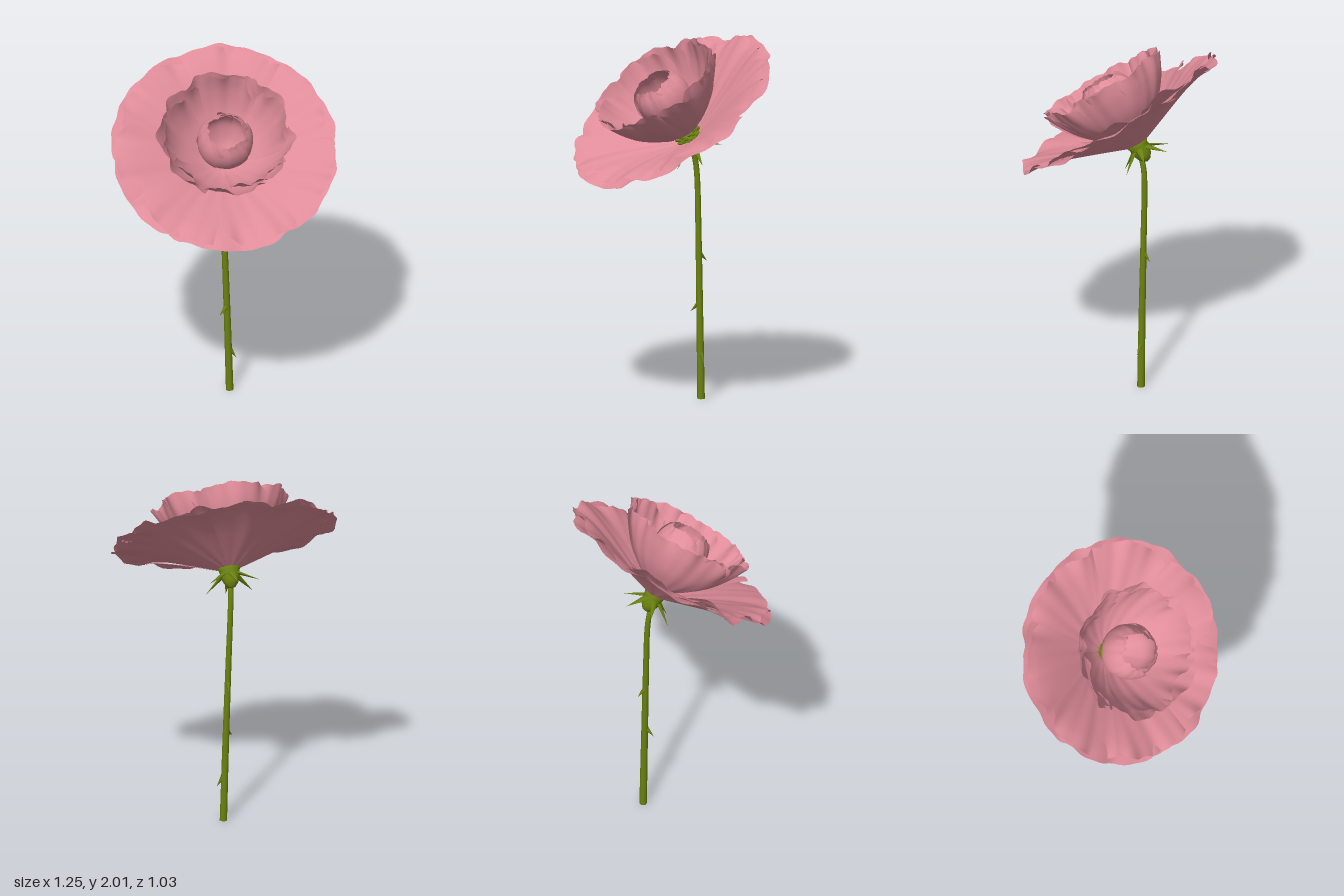
import * as THREE from 'three';
import { mergeGeometries } from 'three/addons/utils/BufferGeometryUtils.js';

const pink = new THREE.MeshStandardMaterial({ color: 0xdf8c99, side: THREE.DoubleSide });
pink.name = 'petal pink';
const green = new THREE.MeshStandardMaterial({ color: 0x6b8210 });
green.name = 'stem green';

function part(name, geometry, material, parent) {
  const mesh = new THREE.Mesh(geometry, material);
  mesh.name = name;
  parent.add(mesh);
  return mesh;
}

// One petal: a sheet swept along a (radius, height) profile over a sector of the flower
function petalGeometry(profile, o) {
  const geo = new THREE.PlaneGeometry(2, 1, 26, 24);
  const pos = geo.attributes.position;
  const p = new THREE.Vector2();
  for (let i = 0; i < pos.count; i++) {
    const u = pos.getX(i);
    const t = pos.getY(i) + 0.5;
    const nibble = 0.014 * Math.sin(u * 9 + o.phase * 2) + 0.011 * Math.sin(u * 19 + o.phase);
    const v = t * (1 - o.round * Math.abs(u) ** 3 + nibble * t);
    profile.getPoint(Math.min(1, Math.max(0, v * 0.975)), p);
    const a = o.angle - u * o.half;
    // ruffled rim, lengthwise creases and one edge lifted over the neighbour
    const rim = t ** 4 * (Math.sin(u * 6 + o.phase) + 0.35 * Math.sin(u * 15 + o.phase));
    const wave = o.ruffle * (rim + 0.4 * t * (1 - t) * Math.sin(u * 11 + o.phase));
    const lift = o.overlap * t * u;
    const r = p.x * o.scale - (o.cupped ? wave + lift : 0);
    const h = p.y + (o.cupped ? 0.3 * wave : wave + lift) + o.raise * t;
    pos.setXYZ(i, r * Math.sin(a), h, r * Math.cos(a));
  }
  geo.computeVertexNormals();
  return geo;
}

function petalRing(name, points, count, options, parent) {
  const profile = new THREE.SplineCurve(points.map(([r, h]) => new THREE.Vector2(r, h)));
  const ring = new THREE.Group();
  ring.name = name;
  for (let i = 0; i < count; i++) {
    const o = { cupped: true, scale: 1, raise: 0, turn: 0, ...options };
    o.angle = o.turn + (i / count) * Math.PI * 2;
    o.phase = i * 2.4 + o.turn * 5;
    part('petal', petalGeometry(profile, o), pink, ring);
  }
  parent.add(ring);
}

// Pointed spike from a base point along a direction
function spike(base, dir, length, radius, flat = 1) {
  const geo = new THREE.ConeGeometry(radius, length, 8);
  geo.translate(0, length / 2, 0);
  geo.scale(1, 1, flat);
  const q = new THREE.Quaternion().setFromUnitVectors(new THREE.Vector3(0, 1, 0), dir.clone().normalize());
  geo.applyQuaternion(q);
  return geo.translate(base.x, base.y, base.z);
}

export function createModel() {
  const model = new THREE.Group();
  model.name = 'flower';
  const V = (x, y, z) => new THREE.Vector3(x, y, z);

  // Stem: tube that thins toward the top and bends into the flower
  const path = new THREE.CatmullRomCurve3([
    V(0.045, 0, -0.166), V(0.032, 0.45, -0.166), V(0.017, 0.9, -0.167),
    V(0.004, 1.25, -0.165), V(0, 1.34, -0.155), V(0, 1.42, -0.13),
  ]);
  const rows = 48, sides = 12;
  const stem = new THREE.TubeGeometry(path, rows, 1, sides, false);
  for (let i = 0; i < stem.attributes.position.count; i++) {
    const t = Math.floor(i / (sides + 1)) / rows;
    const c = path.getPointAt(t);
    const v = V(0, 0, 0).fromBufferAttribute(stem.attributes.position, i);
    v.sub(c).multiplyScalar(0.021 - 0.006 * t).add(c);
    stem.attributes.position.setXYZ(i, v.x, v.y, v.z);
  }
  part('stem', stem, green, model);
  const cut = part('stemEnd', new THREE.CircleGeometry(0.021, sides), green, model);
  cut.rotation.x = Math.PI / 2;
  cut.position.set(0.045, 0.001, -0.166);

  // Thorns pointing outward and down
  const thorns = [
    [V(0.048, 0.255, -0.166), V(0.75, -1.2, 0.1)],
    [V(0.026, 0.53, -0.158), V(-1, -1.1, 0.6)],
    [V(0.02, 0.815, -0.172), V(0.2, -1.1, -1)],
  ];
  for (const [base, dir] of thorns) part('thorn', spike(base, dir, 0.064, 0.014), green, model);

  // Flower head, nodding forward
  const head = new THREE.Group();
  head.name = 'flowerHead';
  head.position.set(0, 1.455, -0.125);
  head.rotation.x = 0.62;
  model.add(head);

  // Calyx bulb
  const bulb = [[0, -0.1], [0.022, -0.092], [0.042, -0.065], [0.054, -0.03], [0.056, 0], [0.066, 0.02], [0.045, 0.036], [0, 0.042]];
  part('calyx', new THREE.LatheGeometry(bulb.map(([r, h]) => new THREE.Vector2(r, h)), 20), green, head);

  // Sepals splayed outward and back
  for (let i = 0; i < 6; i++) {
    const geo = spike(V(0, -0.01, 0.03), V(0, i % 2 ? -0.75 : -0.55, 1), 0.155, 0.028, 0.4);
    part('sepal', geo.rotateY((i / 6) * Math.PI * 2), green, head);
  }

  // Stamen beads around the heart
  const beads = [];
  for (let i = 0; i < 60; i++) {
    const a = i * 2.4;
    const r = [0.072, 0.062, 0.045][i % 3];
    const h = [0.03, 0.042, 0.046][i % 3];
    beads.push(new THREE.IcosahedronGeometry(0.009, 0).translate(r * Math.sin(a), h, r * Math.cos(a)));
  }
  part('stamens', mergeGeometries(beads), green, head);

  // Wide outer petals: broad lower layer, narrower upper layer
  const outer = [[0.025, 0], [0.11, 0.035], [0.215, 0.078], [0.4, 0.15], [0.54, 0.193], [0.635, 0.205]];
  petalRing('outerPetals', outer, 6, { cupped: false, half: 0.7, ruffle: 0.016, overlap: 0.012, round: 0.08 }, head);
  petalRing('outerPetalsUpper', outer, 7, { cupped: false, half: 0.5, scale: 0.97, raise: 0.018, turn: 0.4, ruffle: 0.018, overlap: 0.016, round: 0.14 }, head);

  // Inner cup, two staggered layers floating just above the stamens
  const cup = [[0.06, 0.062], [0.14, 0.108], [0.25, 0.205], [0.325, 0.315], [0.368, 0.42]];
  petalRing('cupPetals', cup, 6, { half: 0.65, ruffle: 0.016, overlap: 0.016, round: 0.15 }, head);
  petalRing('cupPetalsInner', cup, 5, { half: 0.6, scale: 0.94, turn: 0.63, ruffle: 0.015, overlap: 0.016, round: 0.2 }, head);

  // Small open bud of overlapping petals
  const bud = [[0.012, 0.115], [0.085, 0.165], [0.143, 0.245], [0.153, 0.31], [0.138, 0.37], [0.105, 0.42]];
  petalRing('budPetals', bud, 5, { half: 0.85, ruffle: 0.006, overlap: 0.008, round: 0.16 }, head);
  petalRing('budPetalsInner', bud, 4, { half: 0.9, scale: 0.9, raise: 0.006, turn: 0.5, ruffle: 0.006, overlap: 0.008, round: 0.14 }, head);

  return model;
}
